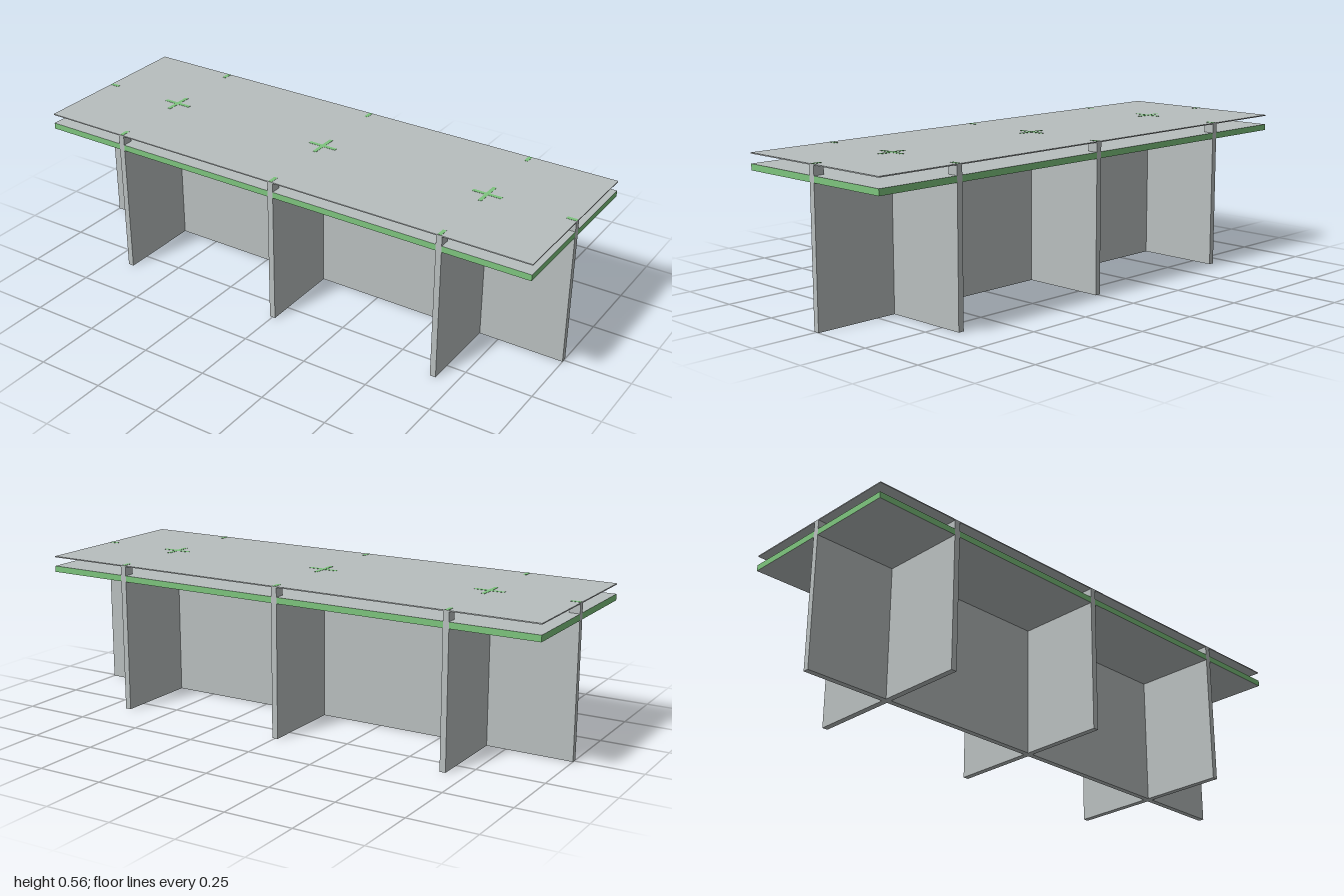
import * as THREE from 'three';

const HX = 1, HZ = 0.333;          // half length and half depth
const T = 0.022;                   // panel thickness
const LEG = 0.495, BOARD = 0.518, TOP = 0.552, H = 0.556;
const CROSS = [-0.667, 0, 0.667];  // x of the cross panels
const END = 0.04, MID = 0.058;     // end tab length, half length of centre tabs

export function createModel() {
  const grey = new THREE.MeshStandardMaterial({ color: 0xb8bebe });
  grey.name = 'grey';
  const green = new THREE.MeshStandardMaterial({ color: 0x7dc47d });
  green.name = 'green';
  const model = new THREE.Group();
  model.name = 'table';

  const box = (parent, name, mat, w, h, d, x, y, z) => {
    const mesh = new THREE.Mesh(new THREE.BoxGeometry(w, h, d), mat);
    mesh.name = name;
    mesh.position.set(x, y, z);
    parent.add(mesh);
  };

  // Upright panel along x, with tabs rising to the top sheet and green tab tips
  const panel = (name, half, centres) => {
    const group = new THREE.Group();
    group.name = name;
    const tabs = [[-half, -half + END], ...centres.map(c => [c - MID, c + MID]), [half - END, half]];
    const s = new THREE.Shape();
    s.moveTo(-half, 0);
    s.lineTo(half, 0);
    for (const [a, b] of [...tabs].reverse()) {
      s.lineTo(b, LEG);
      s.lineTo(b, TOP);
      s.lineTo(a, TOP);
      s.lineTo(a, LEG);
    }
    const geo = new THREE.ExtrudeGeometry(s, { depth: T, bevelEnabled: false });
    geo.translate(0, 0, -T / 2);
    const mesh = new THREE.Mesh(geo, grey);
    mesh.name = name + 'Sheet';
    group.add(mesh);
    for (const [a, b] of tabs)
      box(group, 'tabTip', green, b - a - 0.004, 0.005, 0.014, (a + b) / 2, H - 0.0017, 0);
    model.add(group);
    return group;
  };
  panel('longPanel', HX, CROSS);
  for (const x of CROSS) {
    const p = panel('crossPanel', HZ, [0]);
    p.rotation.y = Math.PI / 2;
    p.position.x = x;
  }

  // Lower board, notched around the panel ends, with green edges
  const s = new THREE.Shape();
  const t = T / 2;
  const notch = (x, y, dx, dy) => {   // walk direction (dx, dy), notch cut to its left
    s.lineTo(x - dx * t, y - dy * t);
    s.lineTo(x - dx * t - dy * END, y - dy * t + dx * END);
    s.lineTo(x + dx * t - dy * END, y + dy * t + dx * END);
    s.lineTo(x + dx * t, y + dy * t);
  };
  s.moveTo(-HX, -HZ);
  CROSS.forEach(x => notch(x, -HZ, 1, 0));
  s.lineTo(HX, -HZ);
  notch(HX, 0, 0, 1);
  s.lineTo(HX, HZ);
  [...CROSS].reverse().forEach(x => notch(x, HZ, -1, 0));
  s.lineTo(-HX, HZ);
  notch(-HX, 0, 0, -1);
  const geo = new THREE.ExtrudeGeometry(s, { depth: BOARD - LEG, bevelEnabled: false });
  geo.rotateX(-Math.PI / 2);
  const board = new THREE.Mesh(geo, [grey, green]);
  board.name = 'lowerBoard';
  board.position.y = LEG;
  model.add(board);

  // Thin top sheet
  box(model, 'topSheet', grey, 2 * HX, H - TOP, 2 * HZ, 0, (H + TOP) / 2, 0);
  return model;
}
